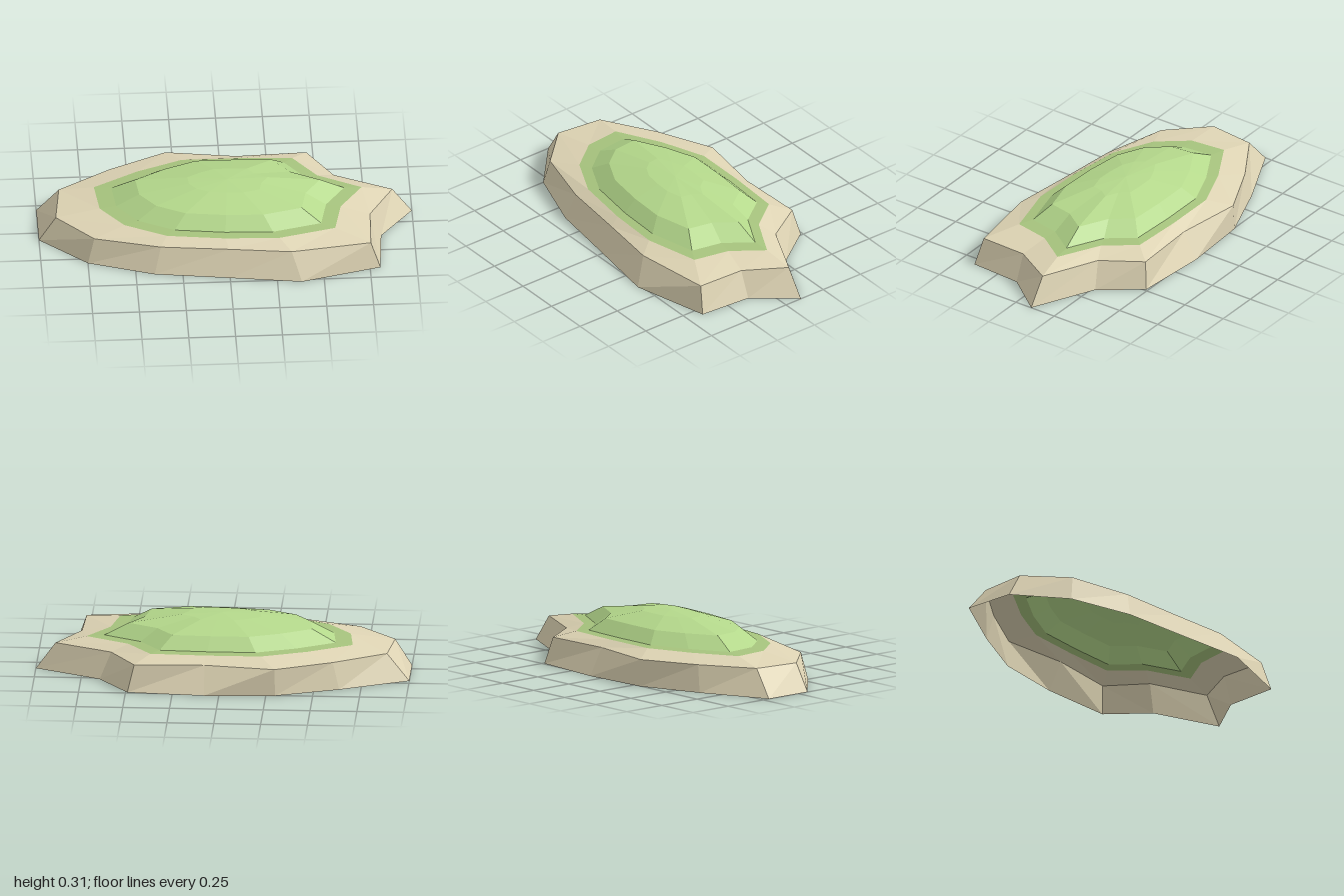
import * as THREE from 'three';

const material = (name, color) => {
  const m = new THREE.MeshStandardMaterial({ color, flatShading: true, side: THREE.DoubleSide });
  m.name = name;
  return m;
};

// Outlines as [x, z], counter-clockwise seen from above
const shore = [[1, -0.1], [0.65, -0.27], [0.49, -0.49], [0.08, -0.525], [-0.3, -0.505], [-0.635, -0.38], [-1, -0.21],
  [-1, 0.065], [-0.75, 0.29], [-0.4, 0.41], [0, 0.465], [0.38, 0.52], [0.805, 0.41], [0.825, 0.12]];
const rim = [[0.895, -0.1], [0.59, -0.245], [0.455, -0.46], [0.08, -0.445], [-0.295, -0.5], [-0.6, -0.36], [-0.88, -0.19],
  [-0.91, 0.065], [-0.715, 0.27], [-0.365, 0.365], [0, 0.405], [0.33, 0.445], [0.755, 0.385], [0.765, 0.12]];
const lawn = [[0.73, -0.08], [0.5, -0.2], [0.375, -0.365], [0.08, -0.38], [-0.215, -0.38], [-0.46, -0.285], [-0.695, -0.155],
  [-0.675, 0.04], [-0.55, 0.2], [-0.33, 0.31], [-0.02, 0.35], [0.27, 0.36], [0.57, 0.285], [0.61, 0.09]];

const ring = (outline, y) => outline.map(([x, z]) => [x, y, z]);

// Lawn outline shrunk towards the hill's centre
const hillRing = (s, y) => lawn.map(([x, z]) => [0.01 + (x - 0.01) * s, y, -0.015 + (z + 0.015) * s]);

// Faceted skin through a stack of rings, from the lowest up
function skin(rings) {
  const p = [];
  for (let r = 0; r < rings.length - 1; r++) {
    const a = rings[r], b = rings[r + 1];
    for (let i = 0; i < a.length; i++) {
      const j = (i + 1) % a.length;
      p.push(...a[i], ...a[j], ...b[j], ...a[i], ...b[j], ...b[i]);
    }
  }
  const g = new THREE.BufferGeometry();
  g.setAttribute('position', new THREE.Float32BufferAttribute(p, 3));
  g.computeVertexNormals();
  return g;
}

export function createModel() {
  const group = new THREE.Group();
  group.name = 'island';
  const add = (name, rings, mat) => {
    const mesh = new THREE.Mesh(skin(rings), mat);
    mesh.name = name;
    group.add(mesh);
  };
  const sand = material('sand', 0xded4b4);
  const grass = material('grass', 0xb4d88b);
  const grassEdge = material('grassEdge', 0xa6c37d);

  const lawnEdge = ring(lawn, 0.178);
  const hillFoot = hillRing(0.87, 0.184);

  // Sloping bank and sandy beach on top of it
  add('bank', [ring(shore, 0), ring(rim, 0.145)], sand);
  add('beach', [ring(rim, 0.145), lawnEdge], sand);
  // Flat strip of grass around the hill
  add('lawnStrip', [lawnEdge, hillFoot], grassEdge);
  // Low domed hill
  add('hill', [hillFoot, hillRing(0.69, 0.25), hillRing(0.3, 0.295), hillRing(0.001, 0.305)], grass);
  return group;
}
